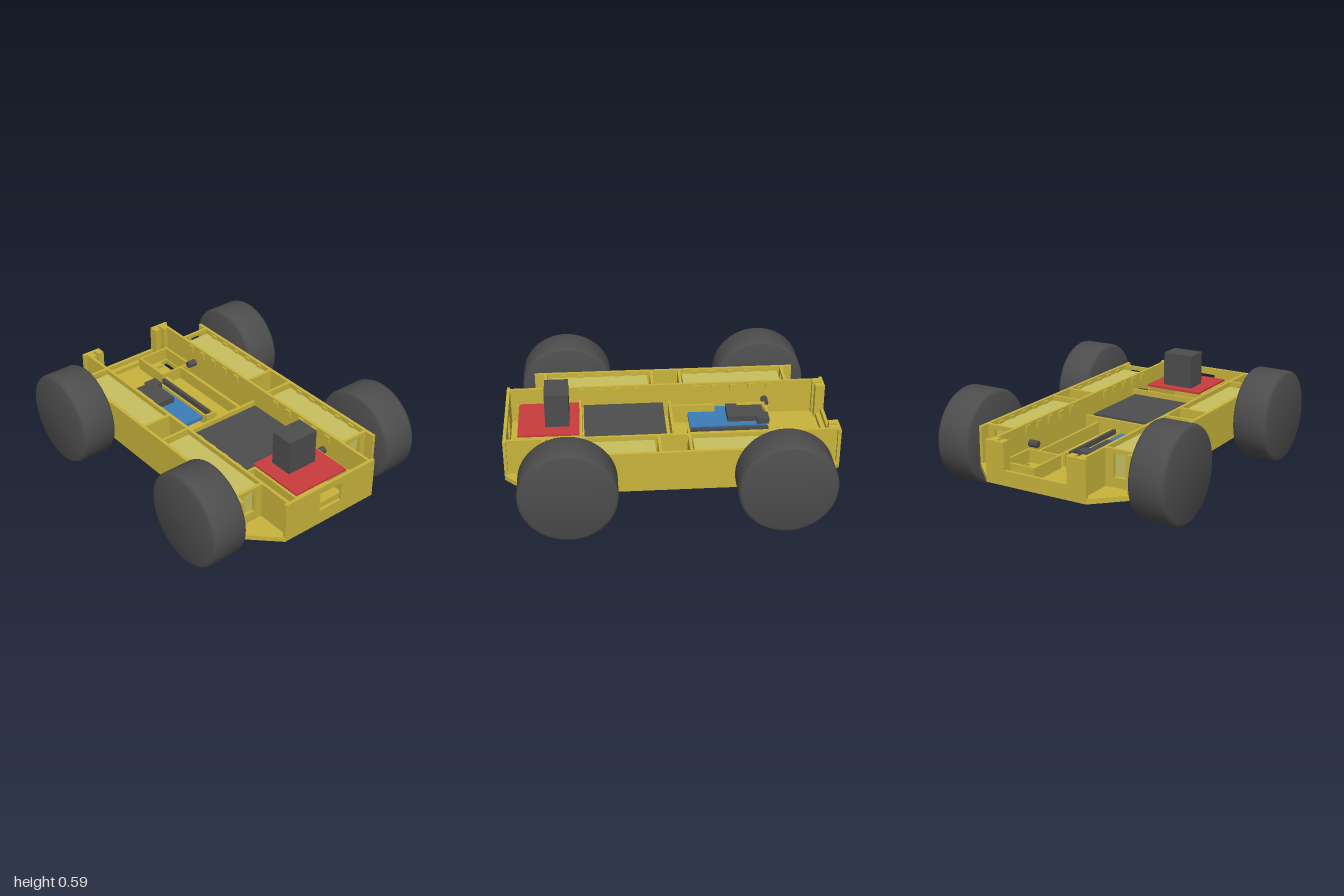
import * as THREE from 'three';
import { toCreasedNormals } from 'three/addons/utils/BufferGeometryUtils.js';

const mat = (name, color) => {
  const m = new THREE.MeshStandardMaterial({ color });
  m.name = name;
  return m;
};

export function createModel() {
  const yellow = mat('yellow plastic', 0xc8b43c);
  const pale = mat('pale motor yellow', 0xc8c060);
  const dark = mat('dark grey', 0x4d4d4d);
  const red = mat('red board', 0xc83c3c);
  const blue = mat('blue board', 0x3c7db9);

  const model = new THREE.Group();
  model.name = 'roverVehicle';
  const add = (name, geo, material) => {
    const mesh = new THREE.Mesh(geo, material);
    mesh.name = name;
    model.add(mesh);
    return mesh;
  };
  // box given by its extents
  const box = (name, m, x0, x1, y0, y1, z0, z1) =>
    add(name, new THREE.BoxGeometry(x1 - x0, y1 - y0, z1 - z0)
      .translate((x0 + x1) / 2, (y0 + y1) / 2, (z0 + z1) / 2), m);
  // the same box on both sides
  const pair = (name, m, x0, x1, ...rest) => {
    box(name, m, x0, x1, ...rest);
    box(name, m, -x1, -x0, ...rest);
  };
  const vecs = (pts) => pts.map(([x, y]) => new THREE.Vector2(x, y));
  const rect = (x0, x1, y0, y1) => [[x0, y0], [x1, y0], [x1, y1], [x0, y1]];
  const plate = (outline, holes, depth) => {
    const s = new THREE.Shape(vecs(outline));
    holes.forEach((h) => s.holes.push(new THREE.Path(vecs(h))));
    return new THREE.ExtrudeGeometry(s, { depth, bevelEnabled: false });
  };

  const base = 0.16, floor = 0.19, top = 0.415;

  // floor pan with chamfered corners and two cable openings
  add('floorPan', plate(
    [[-0.335, -1], [0.335, -1], [0.51, -0.83], [0.51, 0.83], [0.335, 1], [-0.335, 1], [-0.51, 0.83], [-0.51, -0.83]],
    [[[0.21, -0.89], [0.262, -0.9], [0.262, -0.69], [0.21, -0.76]],
      [[0.14, -0.87], [0.195, -0.865], [0.195, -0.84], [0.15, -0.84]]],
    floor - base).rotateX(Math.PI / 2).translate(0, floor, 0), yellow);

  // front wall with window, back wall with wide notch
  add('frontWall', plate(rect(-0.335, 0.335, floor, top), [rect(-0.082, 0.082, 0.25, 0.372)], 0.02)
    .translate(0, 0, 0.98), yellow);
  add('backWall', plate([[-0.335, floor], [0.335, floor], [0.335, top], [0.21, top], [0.21, 0.25],
    [-0.21, 0.25], [-0.21, top], [-0.335, top]], [], 0.02).translate(0, 0, -1), yellow);
  pair('backWallPost', yellow, 0.21, 0.25, floor, top, -0.98, -0.94);
  pair('backWallRib', yellow, 0.27, 0.297, floor, top, -0.985, -0.93);
  box('backSill', yellow, -0.21, 0.21, floor, 0.22, -0.98, -0.95);

  // long side walls
  pair('outerWall', yellow, 0.49, 0.51, floor, top, -0.83, 0.83);
  pair('innerWall', yellow, 0.297, 0.315, floor, top, -0.98, 0.98);

  // side bay cross walls; the end ones have a window towards the motors
  for (const s of [-1, 1]) {
    for (const z of [-0.77, 0.75]) {
      const [a, b] = [0.367, 0.445];
      const hole = s > 0 ? rect(a, b, 0.25, 0.39) : rect(-b, -a, 0.25, 0.39);
      const wall = s > 0 ? rect(0.315, 0.49, floor, top) : rect(-0.49, -0.315, floor, top);
      add('bayEndWall', plate(wall, [hole], 0.02).translate(0, 0, z), yellow);
    }
  }
  for (const z of [-0.095, 0.085])
    pair('bayDivider', yellow, 0.315, 0.49, floor, top, z - 0.009, z + 0.009);

  // motors, with small clips along both bay walls
  for (const z of [-0.425, 0.42]) {
    pair('motor', pale, 0.318, 0.486, floor, 0.388, z - 0.31, z + 0.31);
    for (let i = -2; i <= 2; i++) {
      const c = z + i * 0.115;
      pair('outerClip', yellow, 0.478, 0.492, 0.36, 0.405, c - 0.02, c + 0.02);
      pair('innerClip', yellow, 0.285, 0.299, 0.36, 0.405, c - 0.02, c + 0.02);
    }
  }

  // inner compartment walls and low rails
  box('midWall', yellow, -0.297, 0.297, floor, 0.3, -0.03, -0.012);
  box('frontCrossWall', yellow, -0.297, 0.297, floor, 0.33, 0.535, 0.55);
  box('frontCrossRail', yellow, -0.297, 0.297, floor, 0.26, 0.56, 0.575);
  pair('frontBoardRail', yellow, 0.19, 0.205, floor, 0.36, 0.58, 0.94);
  box('frontBoardLedge', yellow, -0.2, 0.2, floor, 0.24, 0.925, 0.94);
  box('longRail', yellow, 0.2, 0.215, floor, 0.27, -0.66, -0.03);
  box('boardRail', yellow, 0.05, 0.068, floor, 0.27, -0.63, -0.11);
  box('boardRail', yellow, -0.01, 0.002, floor, 0.26, -0.62, -0.12);
  box('boardEndRail', yellow, -0.01, 0.068, floor, 0.27, -0.125, -0.11);
  box('boardEndRail', yellow, -0.22, -0.12, floor, 0.29, -0.635, -0.615);
  box('boardPost', yellow, -0.222, -0.205, floor, 0.31, -0.62, -0.44);
  box('boardPost', yellow, -0.222, -0.205, floor, 0.31, -0.3, -0.03);

  // rear switch bay frame
  box('rearBaySide', yellow, 0.055, 0.07, floor, 0.27, -0.925, -0.66);
  box('rearBaySide', yellow, 0.27, 0.285, floor, 0.27, -0.925, -0.66);
  box('rearBayEnd', yellow, 0.055, 0.285, floor, 0.27, -0.925, -0.91);
  box('rearBayEnd', yellow, 0.055, 0.285, floor, 0.27, -0.675, -0.66);
  box('rearBayStep', yellow, 0.07, 0.12, floor, 0.22, -0.9, -0.69);

  // electronics
  box('battery', dark, -0.277, 0.27, floor, 0.3, 0.022, 0.523);
  box('controlBoard', blue, -0.27, -0.028, 0.24, 0.262, -0.61, -0.13);
  box('controlChip', dark, -0.23, -0.07, 0.262, 0.3, -0.6, -0.37);
  box('controlSocket', dark, -0.115, -0.03, 0.262, 0.3, -0.625, -0.55);
  box('uprightBoard', dark, 0.015, 0.035, floor, 0.28, -0.61, -0.13);
  box('sensorBoard', red, -0.19, 0.19, 0.36, 0.372, 0.55, 0.92);
  box('sensorBlock', dark, -0.1, 0.1, 0.372, 0.587, 0.61, 0.755);

  // wheels and axles
  const r = 0.287, w = 0.112, e = 0.02;
  const profile = [[0, -w], [r - e, -w], [r - e * 0.3, -w + e * 0.3], [r, -w + e],
    [r, w - e], [r - e * 0.3, w - e * 0.3], [r - e, w], [0, w]];
  const wheelGeo = toCreasedNormals(new THREE.LatheGeometry(vecs(profile), 64), 0.9).rotateZ(Math.PI / 2);
  const axleGeo = new THREE.CylinderGeometry(0.022, 0.022, 0.32, 24).rotateZ(Math.PI / 2);
  for (const s of [-1, 1]) {
    for (const z of [-0.627, 0.625]) {
      add('wheel', wheelGeo, dark).position.set(s * 0.649, r, z);
      add('axle', axleGeo, dark).position.set(s * 0.4, r + 0.003, z);
    }
  }
  return model;
}
